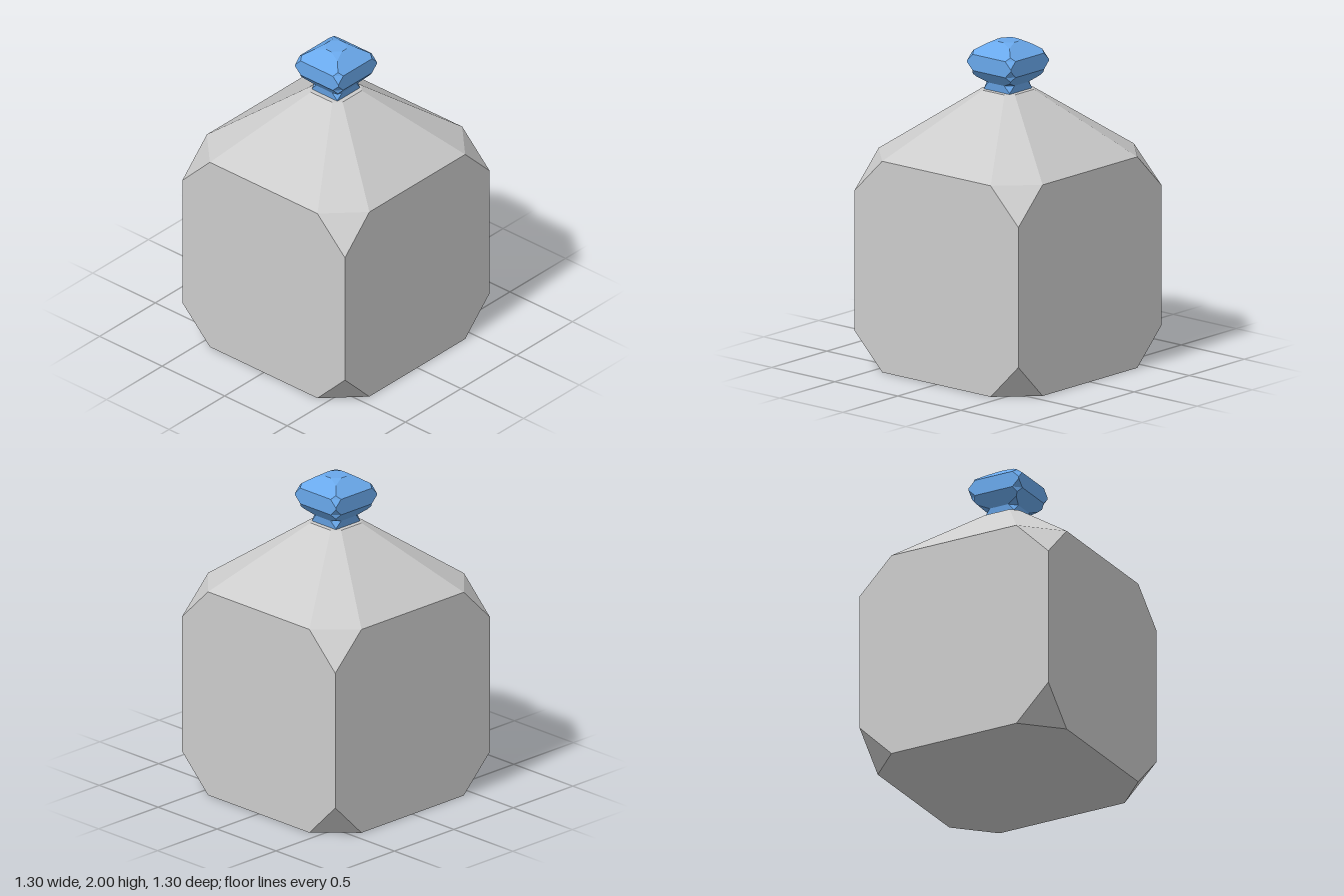
import * as THREE from 'three';

const SIGNS = [[1, 1], [1, -1], [-1, -1], [-1, 1]]; // corners, counter-clockwise from above

// Stacked square sections [halfWidth, y, cornerCut]; every corner is sliced off by its cut.
// An optional shoulder { scale, y } draws the top face up into a smaller one.
function cutCornerSolid(sections, shoulder) {
  const pos = [];
  const face = (pts) => {
    for (let i = 1; i < pts.length - 1; i++) {
      const tri = new THREE.Triangle(pts[0], pts[i], pts[i + 1]);
      if (tri.getArea() > 1e-7) for (const p of [tri.a, tri.b, tri.c]) pos.push(p.x, p.y, p.z);
    }
  };
  const last = sections.length - 1;
  const corner = (i, k) => {
    const [w, y] = sections[i];
    const [sx, sz] = SIGNS[(k + 4) % 4];
    return new THREE.Vector3(sx * w, y, sz * w);
  };
  // the four points where the slice meets the edges leaving a corner
  const cuts = (i, k) => {
    const v = corner(i, k);
    const toward = (t) => v.clone().add(t.sub(v).setLength(sections[i][2]));
    return {
      prev: toward(corner(i, k - 1)),
      next: toward(corner(i, k + 1)),
      up: i < last ? toward(corner(i + 1, k)) : null,
      down: i > 0 ? toward(corner(i - 1, k)) : null,
    };
  };
  const rim = (i) => [0, 1, 2, 3].flatMap((k) => [cuts(i, k).prev, cuts(i, k).next]);

  for (let i = 0; i <= last; i++) {
    for (let k = 0; k < 4; k++) {
      const c = cuts(i, k);
      face([c.prev, c.down, c.next, c.up].filter(Boolean));
      if (i === last) continue;
      const r = cuts(i, k + 1), tl = cuts(i + 1, k), tr = cuts(i + 1, k + 1);
      face([c.next, r.prev, r.up, tr.down, tr.prev, tl.next, tl.down, c.up]);
    }
  }
  face(rim(0).reverse());
  let top = rim(last);
  if (shoulder) {
    const small = top.map((p) => new THREE.Vector3(p.x * shoulder.scale, shoulder.y, p.z * shoulder.scale));
    top.forEach((p, j) => {
      const n = (j + 1) % top.length;
      face([p, top[n], small[n], small[j]]);
    });
    top = small;
  }
  face(top);

  const geometry = new THREE.BufferGeometry();
  geometry.setAttribute('position', new THREE.Float32BufferAttribute(pos, 3));
  geometry.computeVertexNormals();
  return geometry;
}

function part(name, geometry, color) {
  const mesh = new THREE.Mesh(geometry, new THREE.MeshStandardMaterial({ color, flatShading: true }));
  mesh.name = name;
  return mesh;
}

export function createModel() {
  const model = new THREE.Group();
  model.name = 'bottle';

  // cube body with sliced corners and a sloping shoulder
  model.add(part('body', cutCornerSolid(
    [[0.65, 0, 0.22], [0.65, 1.305, 0.22]],
    { scale: 0.2, y: 1.7 },
  ), 0xcccccc));

  // faceted stopper: neck, pinch, wide band, tapered crown
  model.add(part('stopper', cutCornerSolid([
    [0.1, 1.7, 0],
    [0.108, 1.748, 0.044],
    [0.173, 1.823, 0.044],
    [0.173, 1.923, 0.044],
    [0.066, 2, 0.045],
  ]), 0x69a8eb));

  return model;
}
